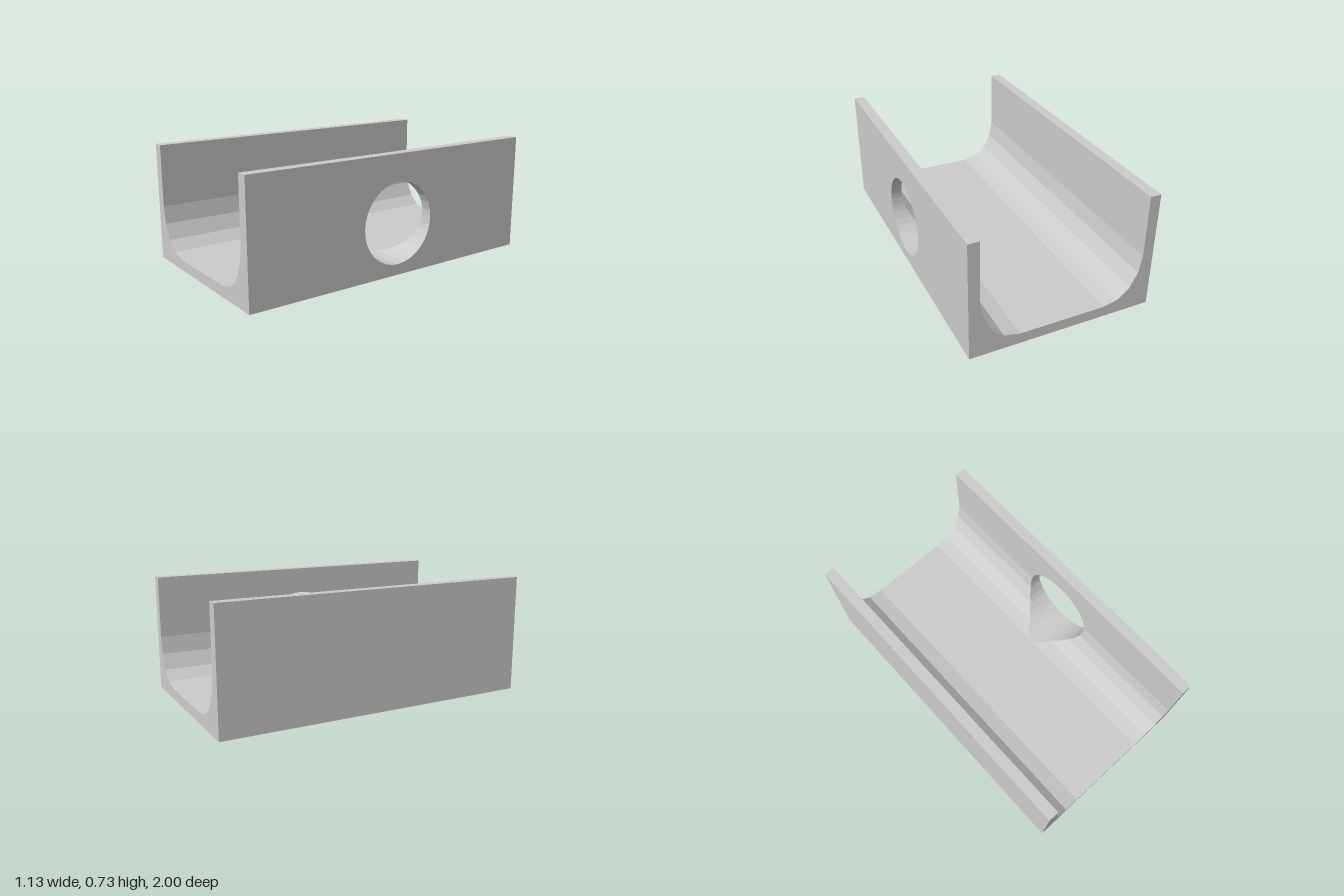
import * as THREE from 'three';

const HALF_W = 0.5667, HEIGHT = 0.7333, FLOOR = 0.0667;
const HOLE_Y = 0.3167, HOLE_R = 0.25, HOLE_SEGMENTS = 32;

// Inner outline of one wall, [x, y] from the floor up through the faceted fillet
const INNER = [[0.266, FLOOR], [0.363, 0.089], [0.433, 0.149], [0.481, 0.241], [0.5, 0.35], [0.5, HEIGHT]];

// Inner wall distance from the centre plane at height y
function innerX(y) {
  for (let i = 1; i < INNER.length; i++) {
    const [xa, ya] = INNER[i - 1], [xb, yb] = INNER[i];
    if (y <= yb) return xa + (xb - xa) * Math.max(0, (y - ya) / (yb - ya));
  }
  return INNER[INNER.length - 1][0];
}

// Half width of the round hole at height y
const holeHalf = (y) => Math.sqrt(Math.max(0, HOLE_R ** 2 - (y - HOLE_Y) ** 2));

// Flat quads collected into one geometry; corners run anticlockwise unless flipped
class Quads {
  points = [];
  tri(a, b, c) {
    const [p, q, r] = [a, b, c].map((v) => new THREE.Vector3(...v));
    if (q.sub(p).cross(r.sub(p)).length() > 1e-9) this.points.push(...a, ...b, ...c);
  }
  add(a, b, c, d, flip = false) {
    if (flip) [b, d] = [d, b];
    this.tri(a, b, c);
    this.tri(a, c, d);
  }
  mesh(name, material) {
    const g = new THREE.BufferGeometry();
    g.setAttribute('position', new THREE.Float32BufferAttribute(this.points, 3));
    g.computeVertexNormals();
    const m = new THREE.Mesh(g, material);
    m.name = name;
    return m;
  }
}

// One side wall as horizontal strips, split around the hole when pierced
function buildWall(side, pierced, name, material) {
  const wall = new Quads(), bore = new Quads();
  const levels = [0, ...INNER.map((p) => p[1])];
  if (pierced) {
    for (let i = 0; i <= HOLE_SEGMENTS / 2; i++) {
      levels.push(HOLE_Y - HOLE_R * Math.cos((i * 2 * Math.PI) / HOLE_SEGMENTS));
    }
  }
  levels.sort((a, b) => a - b);
  const flip = side < 0, out = side * HALF_W;

  for (let i = 1; i < levels.length; i++) {
    const y0 = levels[i - 1], y1 = levels[i];
    if (y1 - y0 < 1e-6) continue;
    const w0 = pierced ? holeHalf(y0) : 0, w1 = pierced ? holeHalf(y1) : 0;
    const in0 = side * innerX(y0), in1 = side * innerX(y1);
    for (const s of [-1, 1]) {
      const f = flip !== (s < 0);
      wall.add([out, y0, s], [out, y0, s * w0], [out, y1, s * w1], [out, y1, s], f);
      if (y0 < FLOOR - 1e-6) continue;
      wall.add([in0, y0, s], [in0, y0, s * w0], [in1, y1, s * w1], [in1, y1, s], !f);
      if (pierced) {
        bore.add([out, y0, s * w0], [in0, y0, s * w0], [in1, y1, s * w1], [out, y1, s * w1], f);
      }
    }
  }
  // Top rim
  const rim = side * 0.5;
  wall.add([rim, HEIGHT, 1], [out, HEIGHT, 1], [out, HEIGHT, -1], [rim, HEIGHT, -1], flip);

  const group = new THREE.Group();
  group.name = name;
  group.add(wall.mesh(name + 'Faces', material));
  if (pierced) group.add(bore.mesh('holeBore', material));
  return group;
}

export function createModel() {
  const model = new THREE.Group();
  model.name = 'channel';
  const material = new THREE.MeshStandardMaterial({ color: 0xcccccc, flatShading: true });

  model.add(buildWall(1, true, 'leftWall', material));
  model.add(buildWall(-1, false, 'rightWall', material));

  // Floor: inner face and underside
  const floor = new Quads(), fx = INNER[0][0];
  floor.add([-fx, FLOOR, 1], [fx, FLOOR, 1], [fx, FLOOR, -1], [-fx, FLOOR, -1]);
  floor.add([-HALF_W, 0, -1], [HALF_W, 0, -1], [HALF_W, 0, 1], [-HALF_W, 0, 1]);
  model.add(floor.mesh('floor', material));

  // U-shaped end faces
  const outline = [
    [-HALF_W, 0], [HALF_W, 0], [HALF_W, HEIGHT],
    ...[...INNER].reverse(),
    ...INNER.map(([x, y]) => [-x, y]),
    [-HALF_W, HEIGHT],
  ];
  const section = new THREE.Shape(outline.map(([x, y]) => new THREE.Vector2(x, y)));
  for (const s of [1, -1]) {
    const end = new THREE.Mesh(new THREE.ShapeGeometry(section), material);
    end.name = s > 0 ? 'frontEnd' : 'backEnd';
    end.position.z = s;
    if (s < 0) end.rotation.y = Math.PI;
    model.add(end);
  }
  return model;
}
